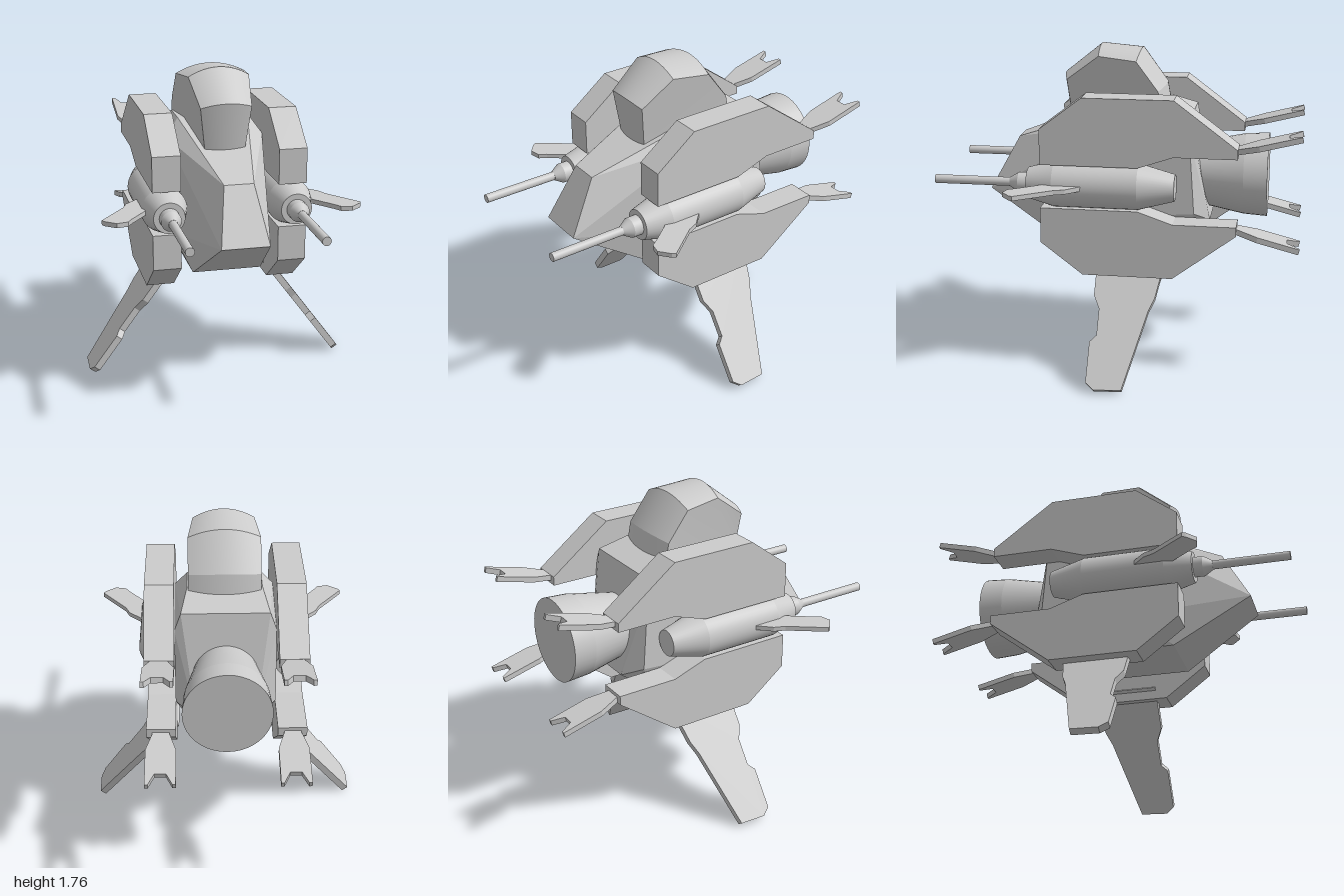
import * as THREE from 'three';
import { ConvexGeometry } from 'three/addons/geometries/ConvexGeometry.js';

const material = new THREE.MeshStandardMaterial({ color: 0xcccccc });

function add(parent, name, geometry) {
  const mesh = new THREE.Mesh(geometry, material);
  mesh.name = name;
  parent.add(mesh);
  return mesh;
}

// Flat plate from an outline in the xy plane, centred on its thickness
function plate(points, thickness) {
  const shape = new THREE.Shape(points.map(([x, y]) => new THREE.Vector2(x, y)));
  return new THREE.ExtrudeGeometry(shape, { depth: thickness, bevelEnabled: false })
    .translate(0, 0, -thickness / 2);
}
// Outline given as (z, y), thickness along x
const sidePlate = (points, t) => plate(points, t).rotateY(-Math.PI / 2);
// Outline given as (x, z), thickness along y
const levelPlate = (points, t) => plate(points, t).rotateX(Math.PI / 2);

// Round section along z, radius rBack at zBack and rFront at zFront
function roundSection(rFront, rBack, zFront, zBack) {
  return new THREE.CylinderGeometry(rFront, rBack, zFront - zBack, 40)
    .rotateX(Math.PI / 2)
    .translate(0, 0, (zFront + zBack) / 2);
}

// Faceted hull
function hullGeometry() {
  const half = [
    [0.08, 1.24, 0.585], [0.13, 0.945, 0.745],   // nose
    [0.19, 0.67, 0.32], [0.19, 0.67, -0.3],      // belly
    [0.2, 1.46, -0.03], [0.2, 1.46, -0.2],       // roof
    [0.27, 1.36, 0.03], [0.27, 0.84, 0.1],       // flanks
    [0.235, 1.4, -0.39], [0.27, 1.3, -0.39],     // rear
    [0.27, 0.88, -0.42], [0.16, 0.82, -0.5],
  ];
  const points = half.flatMap(([x, y, z]) =>
    [new THREE.Vector3(x, y, z), new THREE.Vector3(-x, y, z)]);
  return new ConvexGeometry(points);
}

// Canopy: bowed strips between stations, closed by flat sides
function canopyGeometry() {
  // edge z, edge y, half width, middle z, middle y
  const stations = [
    [0.27, 1.33, 0.11, 0.285, 1.32],
    [0.3, 1.58, 0.14, 0.325, 1.605],
    [0.12, 1.715, 0.168, 0.125, 1.765],
    [-0.09, 1.695, 0.195, -0.1, 1.745],
    [-0.21, 1.535, 0.195, -0.24, 1.55],
    [-0.24, 1.38, 0.195, -0.27, 1.38],
  ];
  const positions = [], indices = [], columns = 16;
  const point = ([ez, ey, w, mz, my], t) => {
    const k = t * t;
    positions.push(w * t, my + (ey - my) * k, mz + (ez - mz) * k);
  };
  for (let i = 0; i < stations.length - 1; i++) {
    const base = positions.length / 3;
    for (const station of [stations[i], stations[i + 1]])
      for (let j = 0; j <= columns; j++) point(station, (2 * j) / columns - 1);
    for (let j = 0; j < columns; j++) {
      const a = base + j, c = a + columns + 1;
      indices.push(a, a + 1, c, a + 1, c + 1, c);
    }
  }
  for (const side of [-1, 1]) {
    const base = positions.length / 3;
    stations.forEach((station) => point(station, side));
    for (let i = 1; i < stations.length - 1; i++) {
      if (side < 0) indices.push(base, base + i, base + i + 1);
      else indices.push(base, base + i + 1, base + i);
    }
  }
  const geometry = new THREE.BufferGeometry();
  geometry.setAttribute('position', new THREE.Float32BufferAttribute(positions, 3));
  geometry.setIndex(indices);
  geometry.computeVertexNormals();
  return geometry;
}

const AXIS_Y = 1.045;

// Pod profile, as offsets (z, y) from the engine axis
const podProfile = [
  [0.4, 0.12], [0.4, 0.315], [0.17, 0.49], [-0.32, 0.49],
  [-0.66, 0.235], [-0.66, 0.185], [-0.32, 0.185], [-0.13, 0.12],
];
// Forked tail fin (x, z), hinged at z = 0
const finOutline = [
  [-0.045, 0.04], [-0.045, -0.01], [-0.08, -0.12], [-0.08, -0.35], [-0.063, -0.35],
  [-0.03, -0.28], [0.03, -0.28], [0.063, -0.35], [0.08, -0.35],
  [0.08, -0.12], [0.045, -0.01], [0.045, 0.04],
];
// Forward swept wing (x, z)
const wingOutline = [
  [0.36, 0.06], [0.48, 0.18], [0.54, 0.24], [0.565, 0.3], [0.705, 0.485], [0.695, 0.505],
  [0.635, 0.553], [0.575, 0.54], [0.55, 0.5], [0.465, 0.39], [0.36, 0.28],
];
// Leg outline (z, height), stretched along the slanted leg
const legOutline = [
  [0.105, 0.62], [0.105, 0.42], [0.07, 0.36], [0.07, 0.24], [0.105, 0.21], [0.105, 0.03],
  [0.06, 0], [-0.09, 0.005], [-0.2, 0.36], [-0.23, 0.42], [-0.275, 0.62],
];

function buildSide(side) {
  const group = new THREE.Group();
  group.name = side > 0 ? 'leftSide' : 'rightSide';

  // Upper and lower pods with their tail fins
  for (const up of [1, -1]) {
    const label = up > 0 ? 'upper' : 'lower';
    const pod = add(group, label + 'Pod',
      sidePlate(podProfile.map(([z, y]) => [z, y * up]), 0.155));
    pod.position.set(side * 0.346, AXIS_Y, 0);
    const fin = add(group, label + 'TailFin', levelPlate(finOutline, 0.03));
    fin.position.set(side * 0.347, AXIS_Y + up * 0.218, -0.655);
    fin.rotation.x = up * 0.25;
  }

  // Engine nacelle with gun barrel
  const nacelle = new THREE.Group();
  nacelle.name = 'nacelle';
  nacelle.position.set(side * 0.347, AXIS_Y, 0);
  group.add(nacelle);
  add(nacelle, 'nacelleNose', roundSection(0.085, 0.125, 0.477, 0.33));
  add(nacelle, 'nacelleBody', roundSection(0.125, 0.125, 0.33, -0.13));
  add(nacelle, 'nacelleTail', roundSection(0.125, 0.073, -0.13, -0.325));
  add(nacelle, 'barrelCollar', roundSection(0.055, 0.055, 0.53, 0.47));
  add(nacelle, 'barrelTaper', roundSection(0.025, 0.055, 0.58, 0.53));
  add(nacelle, 'barrel', roundSection(0.024, 0.024, 1, 0.57));

  // Wing
  const wing = add(group, 'wing',
    levelPlate(wingOutline.map(([x, z]) => [x * side, z]), 0.025));
  wing.position.y = 1.052;

  // Splayed leg
  const splay = 0.635;
  const leg = add(group, 'leg',
    sidePlate(legOutline.map(([z, y]) => [z, y / Math.cos(splay)]), 0.038));
  leg.position.set(side * 0.73, 0.012, 0);
  leg.rotation.z = side * splay;
  return group;
}

export function createModel() {
  const model = new THREE.Group();
  model.name = 'spacecraft';
  add(model, 'hull', hullGeometry());
  add(model, 'canopy', canopyGeometry());

  // Main thruster
  const thruster = new THREE.Group();
  thruster.name = 'mainThruster';
  thruster.position.y = AXIS_Y + 0.005;
  add(thruster, 'thrusterCone', roundSection(0.165, 0.225, -0.38, -0.68));
  add(thruster, 'thrusterRim', roundSection(0.225, 0.233, -0.68, -0.81));
  model.add(thruster);

  model.add(buildSide(1), buildSide(-1));
  return model;
}
